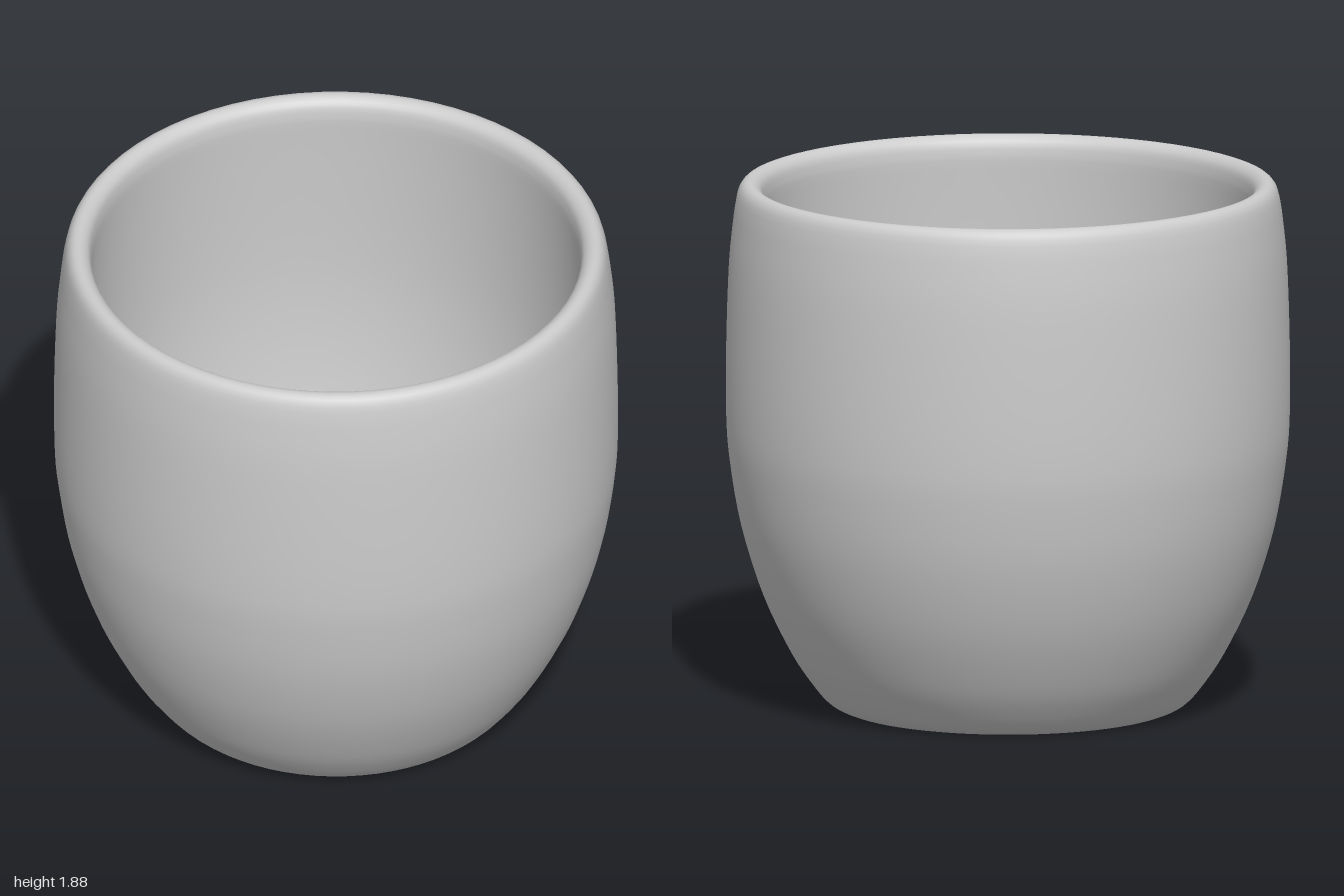
import * as THREE from 'three';

// Smooth run of profile points [radius, height]
const smooth = (pts, n) =>
  new THREE.SplineCurve(pts.map(([r, y]) => new THREE.Vector2(r, y))).getPoints(n);

export function createModel() {
  const group = new THREE.Group();
  const material = new THREE.MeshStandardMaterial({ color: 0xcccccc });

  // Outer wall, from the foot edge up to the lip
  const outside = smooth([
    [0.6, 0.005], [0.64, 0.025], [0.69, 0.08], [0.77, 0.2], [0.87, 0.41], [0.945, 0.65],
    [0.985, 0.88], [0.998, 1.05], [0.998, 1.3], [0.988, 1.6], [0.97, 1.78],
  ], 40);
  // Rounded lip
  const lip = smooth([
    [0.97, 1.78], [0.958, 1.845], [0.94, 1.877], [0.915, 1.886],
    [0.89, 1.876], [0.872, 1.85], [0.866, 1.8],
  ], 16);
  // Inner wall, down to the middle of the floor
  const inside = smooth([
    [0.866, 1.8], [0.872, 1.6], [0.876, 1.3], [0.87, 1.05], [0.845, 0.8], [0.8, 0.56],
    [0.73, 0.36], [0.63, 0.22], [0.5, 0.155], [0.3, 0.14], [0, 0.14],
  ], 40);

  const profile = [
    new THREE.Vector2(0, 0.005), new THREE.Vector2(0.57, 0.005),
    ...outside, ...lip.slice(1), ...inside.slice(1),
  ];
  const geometry = new THREE.LatheGeometry(profile, 72);

  const cup = new THREE.Mesh(geometry, material);
  cup.name = 'cup';
  group.add(cup);
  return group;
}
